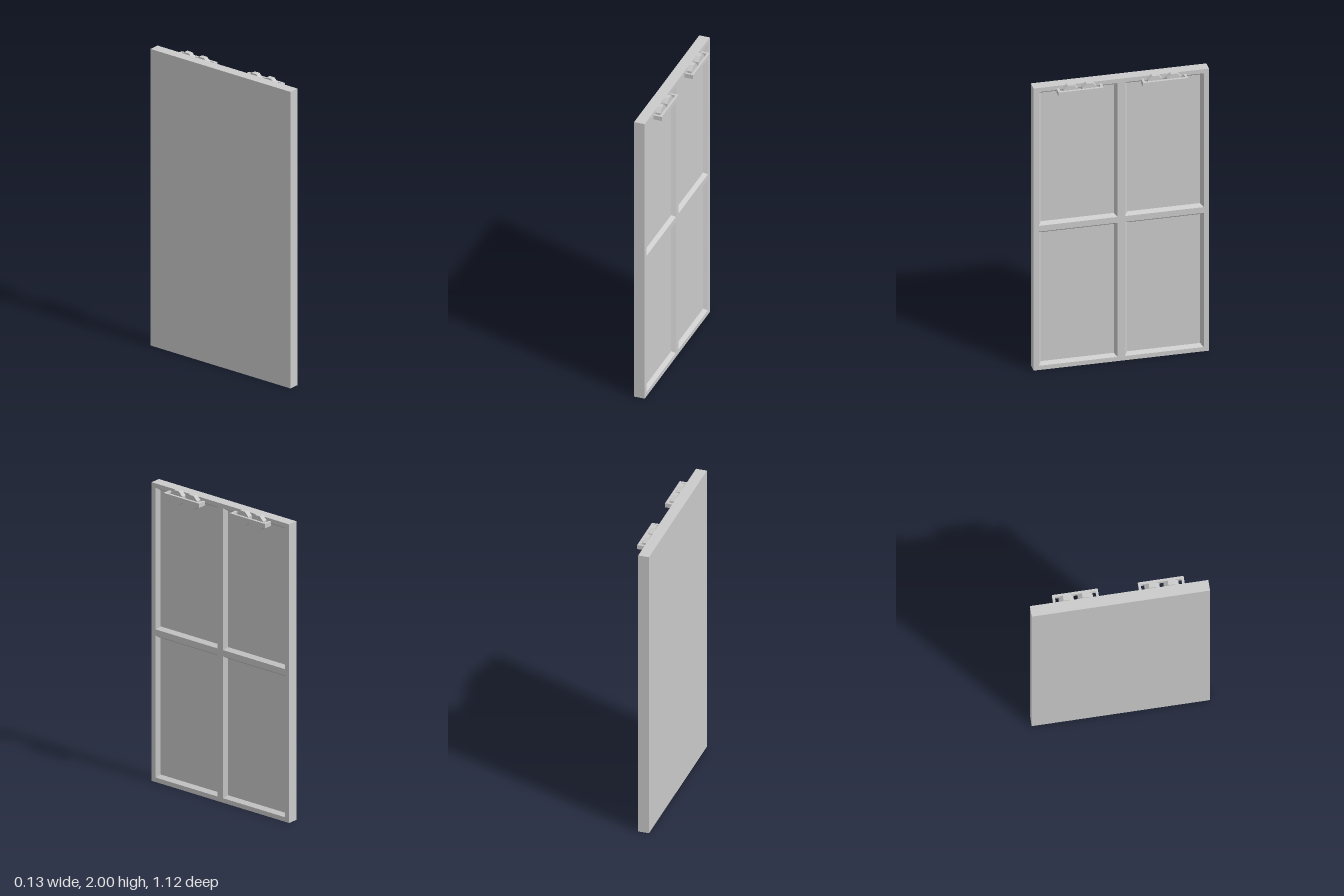
import * as THREE from 'three';

const W = 0.561, H = 1.99, BACK = -0.064, FACE = 0.007, FLOOR = -0.018, BEVEL = 0.018;
const material = new THREE.MeshStandardMaterial({ color: 0xcccccc, flatShading: true });

// Rectangle as a counter-clockwise loop at depth z
const rect = (x0, y0, x1, y1, z) => [[x0, y0, z], [x1, y0, z], [x1, y1, z], [x0, y1, z]];

function fromQuads(quads) {
  const pos = quads.flatMap(([a, b, c, d]) => [a, b, c, a, c, d]).flat();
  const g = new THREE.BufferGeometry();
  g.setAttribute('position', new THREE.Float32BufferAttribute(pos, 3));
  g.computeVertexNormals();
  return g;
}

// Four walls joining two rectangular loops
const band = (a, b) => a.map((p, i) => [p, a[(i + 1) % 4], b[(i + 1) % 4], b[i]]);

function add(parent, name, geometry) {
  const mesh = new THREE.Mesh(geometry, material);
  mesh.name = name;
  parent.add(mesh);
  return mesh;
}

export function createModel() {
  const model = new THREE.Group();
  model.name = 'panelDoor';

  // Built facing +z, then turned so the panelled side faces +x
  const door = new THREE.Group();
  door.name = 'door';
  door.rotation.y = Math.PI / 2;
  model.add(door);

  // Slab sides and flat back
  const back = rect(-W, 0, W, H, BACK);
  add(door, 'slab', fromQuads([...band(back, rect(-W, 0, W, H, FACE)), [...back].reverse()]));

  // Face frame with four openings, each with sloped walls down to a sunken panel
  const toShape = (loop, Type) => new Type(loop.map(([x, y]) => new THREE.Vector2(x, y)));
  const frame = toShape(rect(-W, 0, W, H), THREE.Shape);
  for (const [x0, x1] of [[-0.527, -0.024], [0.024, 0.527]]) {
    for (const [y0, y1] of [[0.03, 0.976], [1.017, 1.961]]) {
      const rim = rect(x0, y0, x1, y1, FACE);
      const floor = rect(x0 + BEVEL, y0 + BEVEL, x1 - BEVEL, y1 - BEVEL, FLOOR);
      frame.holes.push(toShape(rim, THREE.Path));
      add(door, 'sunkenPanel', fromQuads([...band(rim, floor), floor]));
    }
  }
  add(door, 'faceFrame', new THREE.ShapeGeometry(frame)).position.z = FACE;

  // Two fittings at the top: a U-shaped bracket around a pair of octagonal knobs
  const reach = 0.057, half = 0.144, t = 0.016, barHeight = 0.029;
  const u = new THREE.Shape([
    [-half, 0], [-half + t, 0], [-half + t, reach - t], [half - t, reach - t],
    [half - t, 0], [half, 0], [half, reach], [-half, reach],
  ].map(([x, y]) => new THREE.Vector2(x, y)));
  const bracketGeo = new THREE.ExtrudeGeometry(u, { depth: barHeight, bevelEnabled: false })
    .rotateX(Math.PI / 2).translate(0, barHeight / 2, 0);

  const apothem = 0.047, knobDepth = 0.033;
  const knobGeo = new THREE.CylinderGeometry(1, 1, knobDepth, 8)
    .rotateY(Math.PI / 8).rotateX(Math.PI / 2);
  const r = apothem / Math.cos(Math.PI / 8);
  knobGeo.scale(r, r, 1).translate(0, 0, knobDepth / 2);

  for (const side of [-1, 1]) {
    const fitting = new THREE.Group();
    fitting.name = side < 0 ? 'leftFitting' : 'rightFitting';
    fitting.position.set(side * 0.27, 1.953, FACE);
    add(fitting, 'bracket', bracketGeo).position.y = 0.005;
    for (const s of [-1, 1]) add(fitting, 'knob', knobGeo).position.x = s * 0.06;
    door.add(fitting);
  }
  return model;
}
